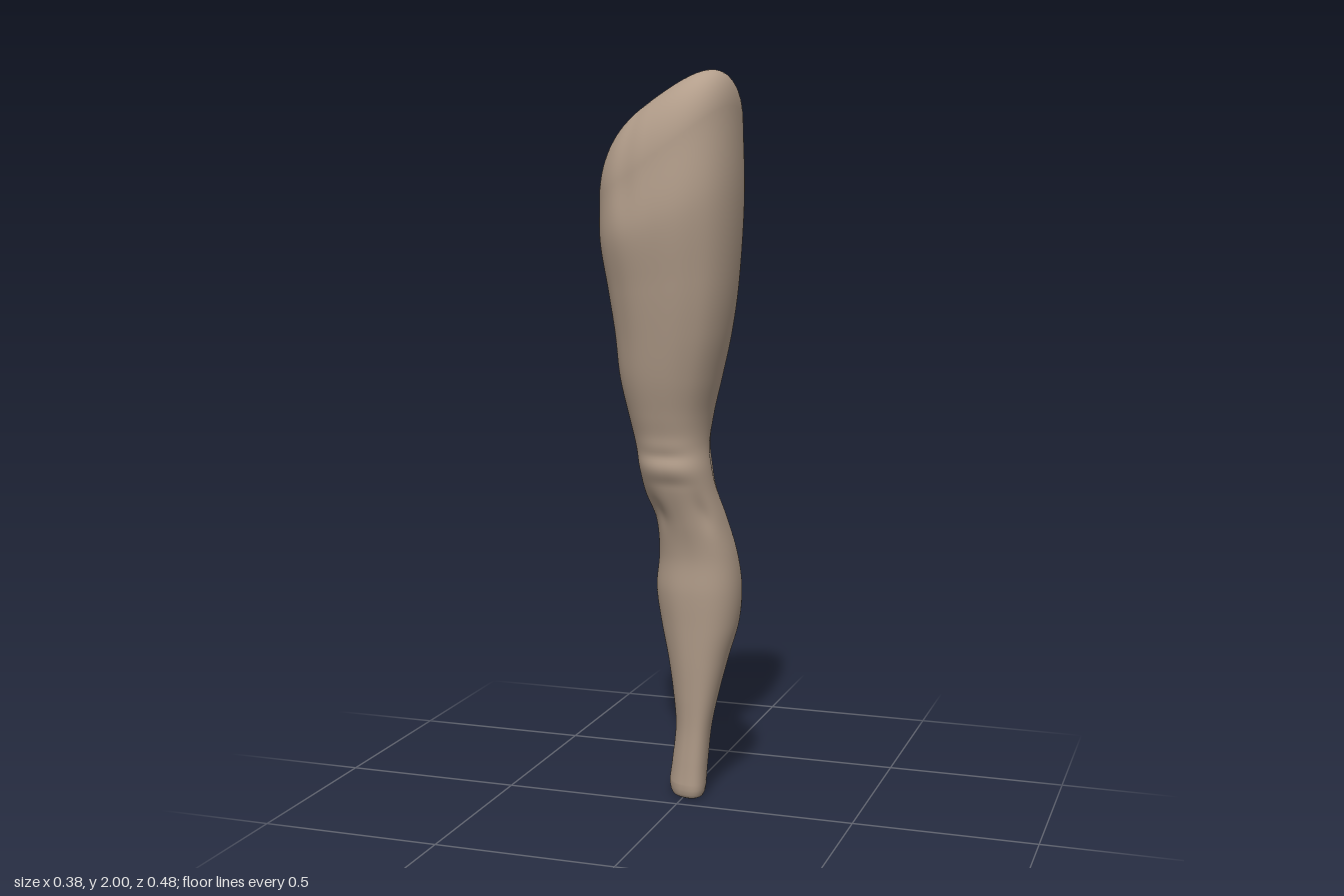
import * as THREE from 'three';

// Cross-sections from ankle to hip: [y, xMin, xMax, zMin, zMax, twist, tilt]
const SECTIONS = [
  [0.04, -0.060, 0.057, -0.181, -0.035, -0.42, 0],
  [0.10, -0.052, 0.061, -0.186, -0.034, -0.42, 0],
  [0.20, -0.041, 0.071, -0.190, -0.030, -0.4, 0],
  [0.30, -0.047, 0.091, -0.200, -0.020, -0.3, 0],
  [0.40, -0.060, 0.115, -0.219, -0.009, -0.2, 0],
  [0.50, -0.080, 0.141, -0.242, 0.001, -0.14, 0],
  [0.60, -0.091, 0.150, -0.238, 0.011, -0.12, 0],
  [0.70, -0.078, 0.141, -0.210, 0.016, -0.12, 0],
  [0.80, -0.076, 0.120, -0.174, 0.040, -0.12, 0],
  [0.88, -0.097, 0.103, -0.138, 0.070, -0.1, 0],
  [0.95, -0.107, 0.094, -0.132, 0.098, -0.08, 0],
  [1.02, -0.115, 0.087, -0.128, 0.102, -0.06, 0],
  [1.10, -0.131, 0.096, -0.146, 0.125, -0.05, 0],
  [1.20, -0.150, 0.121, -0.160, 0.155, -0.05, 0],
  [1.32, -0.158, 0.150, -0.167, 0.183, -0.05, 0.03],
  [1.45, -0.171, 0.172, -0.172, 0.210, -0.05, 0.14],
  [1.62, -0.187, 0.187, -0.177, 0.240, -0.05, 0.38],
  [1.78, -0.187, 0.182, -0.170, 0.234, -0.03, 0.64],
];

// Muscle and knee relief: [angle, angle width, y, y width, relative height]; 90 degrees is the front
const RELIEF = [
  [90, 38, 0.99, 0.016, -0.03], [90, 34, 0.915, 0.018, -0.03],  // kneecap creases
  [90, 40, 0.955, 0.02, 0.015], [90, 40, 1.02, 0.02, 0.02],
  [52, 15, 0.83, 0.05, -0.07], [128, 15, 0.83, 0.05, -0.07],    // hollows beside the tendon
  [90, 14, 0.80, 0.06, 0.02],
  [-90, 20, 1.05, 0.05, -0.04],                                 // back of the knee
  [-125, 14, 1.0, 0.08, 0.03], [-48, 14, 1.0, 0.08, 0.04],
  [165, 14, 0.95, 0.06, -0.03], [-15, 12, 0.96, 0.07, -0.06],
  [-92, 12, 0.55, 0.12, -0.02], [-135, 14, 0.42, 0.12, -0.03],  // calf
  [-30, 14, 0.4, 0.12, -0.02], [130, 16, 0.5, 0.16, -0.02],
  [60, 14, 1.4, 0.25, -0.015], [125, 12, 1.4, 0.25, -0.015],    // thigh
  [-80, 12, 1.45, 0.25, -0.02], [170, 12, 1.35, 0.2, -0.012],
  [108, 10, 1.75, 0.1, -0.03],
];

const SEGMENTS = 96;
const STEPS = 9;

// Smooth interpolation through the section table
function sectionAt(t) {
  const last = SECTIONS.length - 1;
  const i = Math.min(Math.floor(t), last - 1);
  const u = t - i;
  return SECTIONS[i].map((p1, k) => {
    const p2 = SECTIONS[i + 1][k];
    const p0 = i > 0 ? SECTIONS[i - 1][k] : p1;
    const p3 = i + 2 <= last ? SECTIONS[i + 2][k] : 2 * p2 - p1;
    return p1 + 0.5 * u * (p2 - p0 + u * (2 * p0 - 5 * p1 + 4 * p2 - p3 + u * (3 * (p1 - p2) + p3 - p0)));
  });
}

function reliefAt(degrees, y) {
  let sum = 1;
  for (const [angle, wa, y0, wy, height] of RELIEF) {
    const da = ((degrees - angle + 540) % 360) - 180;
    sum += height * Math.exp(-((da / wa) ** 2) - ((y - y0) / wy) ** 2);
  }
  return sum;
}

// One closed ring, shrunk by scale and raised by lift
function addRing(positions, section, scale, lift) {
  const [y, x0, x1, z0, z1, twist, tilt] = section;
  const thigh = THREE.MathUtils.smoothstep(y, 0.9, 1.5);
  for (let j = 0; j < SEGMENTS; j++) {
    const a = (j / SEGMENTS) * Math.PI * 2;
    // The thigh is squarer in front than behind
    const power = 0.88 - 0.07 * thigh * Math.sin(a);
    const soften = (v) => Math.sign(v) * Math.abs(v) ** power;
    const r = scale * reliefAt((a * 180) / Math.PI, y);
    const x = (x0 + x1) / 2 + ((x1 - x0) / 2) * r * soften(Math.cos(a + twist));
    const z = (z0 + z1) / 2 + ((z1 - z0) / 2) * r * soften(Math.sin(a));
    // Hip end slants up to the inside and falls away to front and back
    const slant = x + 0.15 * (z - 0.03) - 2.2 * (z - 0.08) ** 2;
    positions.push(x, y + lift + tilt * slant, z);
  }
}

function legGeometry() {
  const positions = [];
  // Rounded ankle end
  const base = SECTIONS[0];
  for (const [scale, lift] of [[0.001, -0.036], [0.4, -0.037], [0.75, -0.04], [0.86, -0.036], [0.94, -0.027], [0.985, -0.013]]) {
    addRing(positions, base, scale, lift);
  }
  // Shin, knee and thigh
  const total = (SECTIONS.length - 1) * STEPS;
  for (let i = 0; i <= total; i++) addRing(positions, sectionAt(i / STEPS), 1, 0);
  // Slanted domed hip end
  const rim = SECTIONS[SECTIONS.length - 1];
  for (let i = 1; i <= 24; i++) {
    const u = (i / 24) * Math.PI / 2;
    addRing(positions, rim, Math.max(0.001, Math.sqrt(Math.max(0, Math.cos(u)))), 0.158 * Math.sin(u));
  }

  const index = [];
  const rings = positions.length / 3 / SEGMENTS;
  for (let i = 0; i < rings - 1; i++) {
    for (let j = 0; j < SEGMENTS; j++) {
      const k = (j + 1) % SEGMENTS;
      const a = i * SEGMENTS + j, b = i * SEGMENTS + k;
      index.push(a, a + SEGMENTS, b, b, a + SEGMENTS, b + SEGMENTS);
    }
  }
  const geometry = new THREE.BufferGeometry();
  geometry.setAttribute('position', new THREE.Float32BufferAttribute(positions, 3));
  geometry.setIndex(index);
  geometry.computeVertexNormals();
  return geometry;
}

export function createModel() {
  const group = new THREE.Group();
  group.name = 'legModel';
  const skin = new THREE.MeshStandardMaterial({ color: 0xb39e8b });
  skin.name = 'skin';
  const leg = new THREE.Mesh(legGeometry(), skin);
  leg.name = 'leg';
  group.add(leg);
  return group;
}
